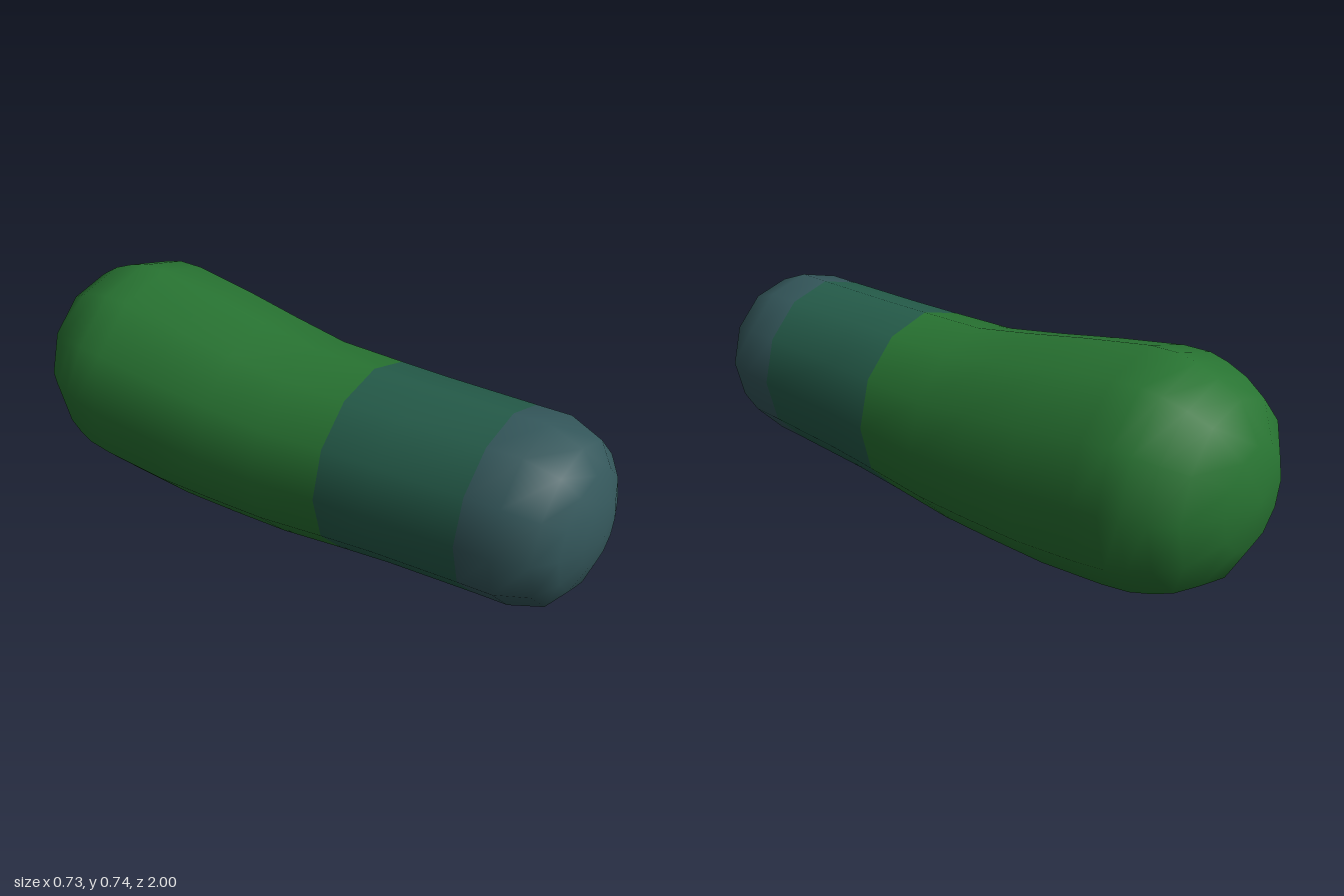
import * as THREE from 'three';

const SIDES = 12;

// Cross-sections from the front tip to the back tip: z, centre height, radius
const RINGS = [
  [1, 0.387, 0], [0.985, 0.387, 0.1], [0.955, 0.387, 0.182], [0.905, 0.387, 0.248], [0.8, 0.387, 0.286],
  [0.69, 0.381, 0.288],
  [0.4, 0.364, 0.296], [0.225, 0.352, 0.305],
  [0, 0.336, 0.319], [-0.2, 0.346, 0.337], [-0.4, 0.36, 0.355], [-0.62, 0.381, 0.364],
  [-0.71, 0.386, 0.359], [-0.77, 0.387, 0.343], [-0.84, 0.386, 0.316], [-0.91, 0.388, 0.27],
  [-0.975, 0.388, 0.155], [-1, 0.388, 0],
];

// Named bands: first ring, last ring, colour
const BANDS = [
  ['frontCap', 0, 5, 'slate', 0x34575b],
  ['middleBand', 5, 7, 'tealGreen', 0x255c4a],
  ['rearBody', 7, RINGS.length - 1, 'green', 0x287432],
];

// Triangles joining consecutive rings, leaving out the collapsed ones at the tips
function bandIndex(from, to) {
  const index = [];
  for (let i = from; i < to; i++) {
    for (let j = 0; j < SIDES; j++) {
      const k = (j + 1) % SIDES;
      const a = i * SIDES + j, b = i * SIDES + k;
      const c = a + SIDES, d = b + SIDES;
      if (RINGS[i][2] > 0) index.push(a, b, c);
      if (RINGS[i + 1][2] > 0) index.push(b, d, c);
      else index.push(...[]);
    }
  }
  return index;
}

export function createModel() {
  const group = new THREE.Group();
  group.name = 'roundedBody';

  // Whole skin first, so normals stay smooth across the colour seams
  const positions = [];
  for (const [z, cy, r] of RINGS) {
    for (let j = 0; j < SIDES; j++) {
      const a = (j / SIDES) * Math.PI * 2;
      positions.push(r * Math.sin(a), cy + r * Math.cos(a), z);
    }
  }
  const last = RINGS.length - 1;
  const skin = new THREE.BufferGeometry();
  skin.setAttribute('position', new THREE.Float32BufferAttribute(positions, 3));
  skin.setIndex(bandIndex(0, last));
  skin.computeVertexNormals();

  // Tips face straight forward and back
  for (let j = 0; j < SIDES; j++) {
    skin.attributes.normal.setXYZ(j, 0, 0, 1);
    skin.attributes.normal.setXYZ(last * SIDES + j, 0, 0, -1);
  }

  // One mesh per coloured band
  for (const [name, from, to, colourName, color] of BANDS) {
    const geometry = skin.clone();
    geometry.setIndex(bandIndex(from, to));
    const material = new THREE.MeshStandardMaterial({ color });
    material.name = colourName;
    const mesh = new THREE.Mesh(geometry, material);
    mesh.name = name;
    group.add(mesh);
  }
  return group;
}
